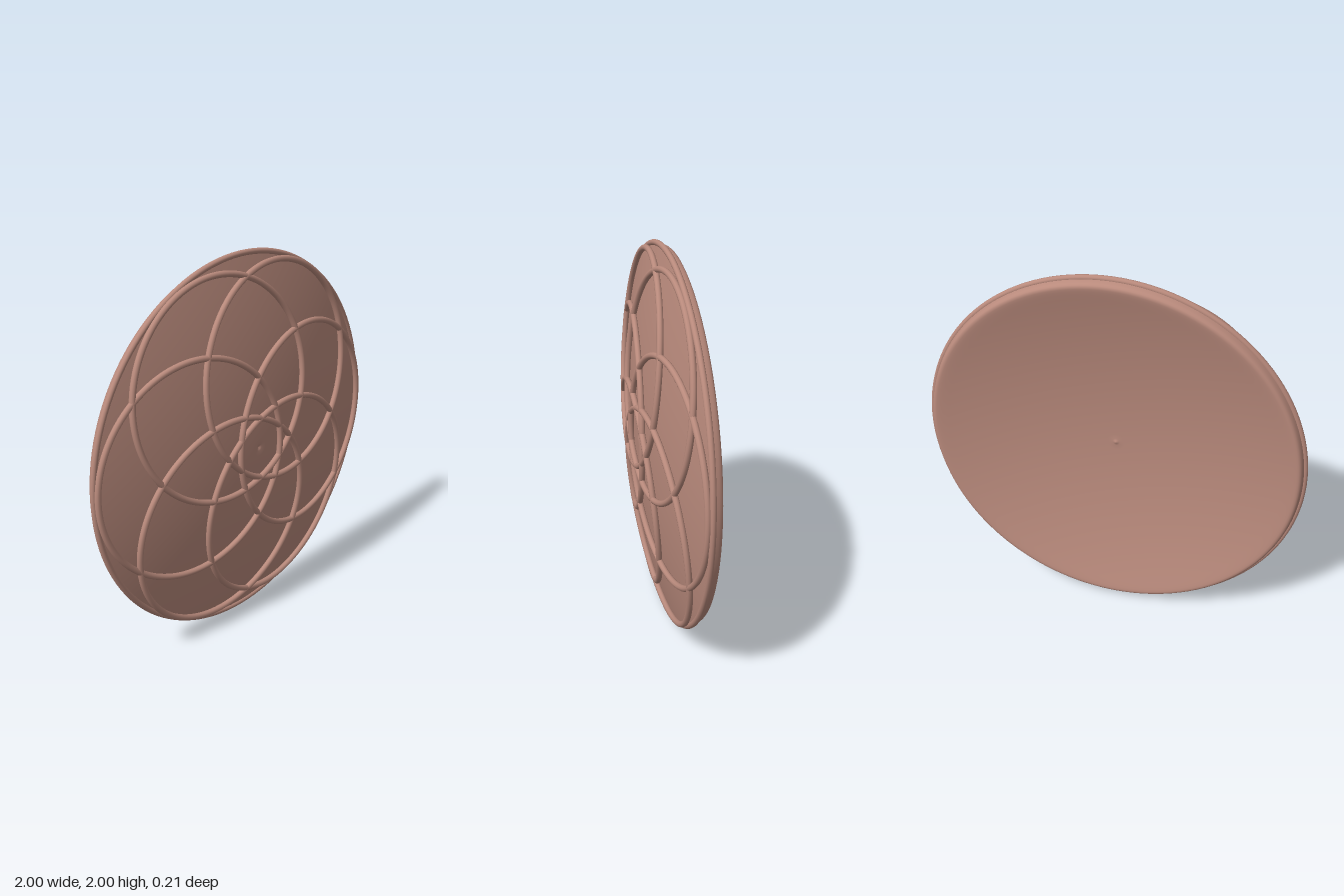
import * as THREE from 'three';

const CENTRE_Y = 1;
const RING_COUNT = 6;
const RING_OFFSET = 0.413;  // ring centres lie on this radius
const RING_RADIUS = 0.563;
const TUBE = 0.016;

// Height of the shallow front dome and of the hollow back at radius r
const domeZ = (r) => 0.077 - 0.132 * r * r;
const hollowZ = (r) => 0.023 - 0.143 * r * r;

// Points along a curved face between two radii
function faceProfile(height, from, to, steps = 32) {
  const points = [];
  for (let i = 0; i <= steps; i++) {
    const r = from + ((to - from) * i) / steps;
    points.push(new THREE.Vector2(r, height(r)));
  }
  return points;
}

// Closed curve of one ring resting on the dome
class DrapedRing extends THREE.Curve {
  constructor(angle) {
    super();
    this.cx = RING_OFFSET * Math.cos(angle);
    this.cy = RING_OFFSET * Math.sin(angle);
  }
  getPoint(t, target = new THREE.Vector3()) {
    const a = t * Math.PI * 2;
    const x = this.cx + RING_RADIUS * Math.cos(a);
    const y = this.cy + RING_RADIUS * Math.sin(a);
    return target.set(x, y, domeZ(Math.hypot(x, y)) + 0.015);
  }
}

export function createModel() {
  const model = new THREE.Group();
  model.name = 'ornamentalDisc';
  const clay = new THREE.MeshStandardMaterial({ color: 0xb98a7c });
  clay.name = 'dusty rose clay';

  const disc = new THREE.Group();
  disc.name = 'disc';
  disc.position.y = CENTRE_Y;
  model.add(disc);

  const add = (name, geometry) => {
    const mesh = new THREE.Mesh(geometry, clay);
    mesh.name = name;
    disc.add(mesh);
    return mesh;
  };
  // Profiles run from the back centre, round the rim, to the front centre
  const addLathe = (name, points) => {
    add(name, new THREE.LatheGeometry(points, 128)).rotation.x = Math.PI / 2;
  };
  const v = (r, z) => new THREE.Vector2(r, z);

  // Front dome with a tiny centre pit
  addLathe('dome', [...faceProfile(domeZ, 0.985, 0.02), v(0.012, 0.074), v(0, 0.07)]);

  // Hollow back rolling over a rounded edge into the side wall
  addLathe('hollowBackAndEdge', [
    v(0, 0.016), v(0.012, 0.02), ...faceProfile(hollowZ, 0.02, 0.92),
    v(0.936, -0.1015), v(0.95, -0.1045), v(0.96, -0.1045), v(0.968, -0.101),
    v(0.974, -0.094), v(0.978, -0.084), v(0.982, -0.07), v(0.985, -0.055),
  ]);

  // Rounded bead around the edge
  const bead = add('rimBead', new THREE.TorusGeometry(0.985, 0.015, 12, 128));
  bead.position.z = -0.054;

  // Six interlaced raised rings
  for (let i = 0; i < RING_COUNT; i++) {
    const curve = new DrapedRing((i * Math.PI * 2) / RING_COUNT);
    add('raisedRing' + (i + 1), new THREE.TubeGeometry(curve, 128, TUBE, 10, true));
  }

  return model;
}
